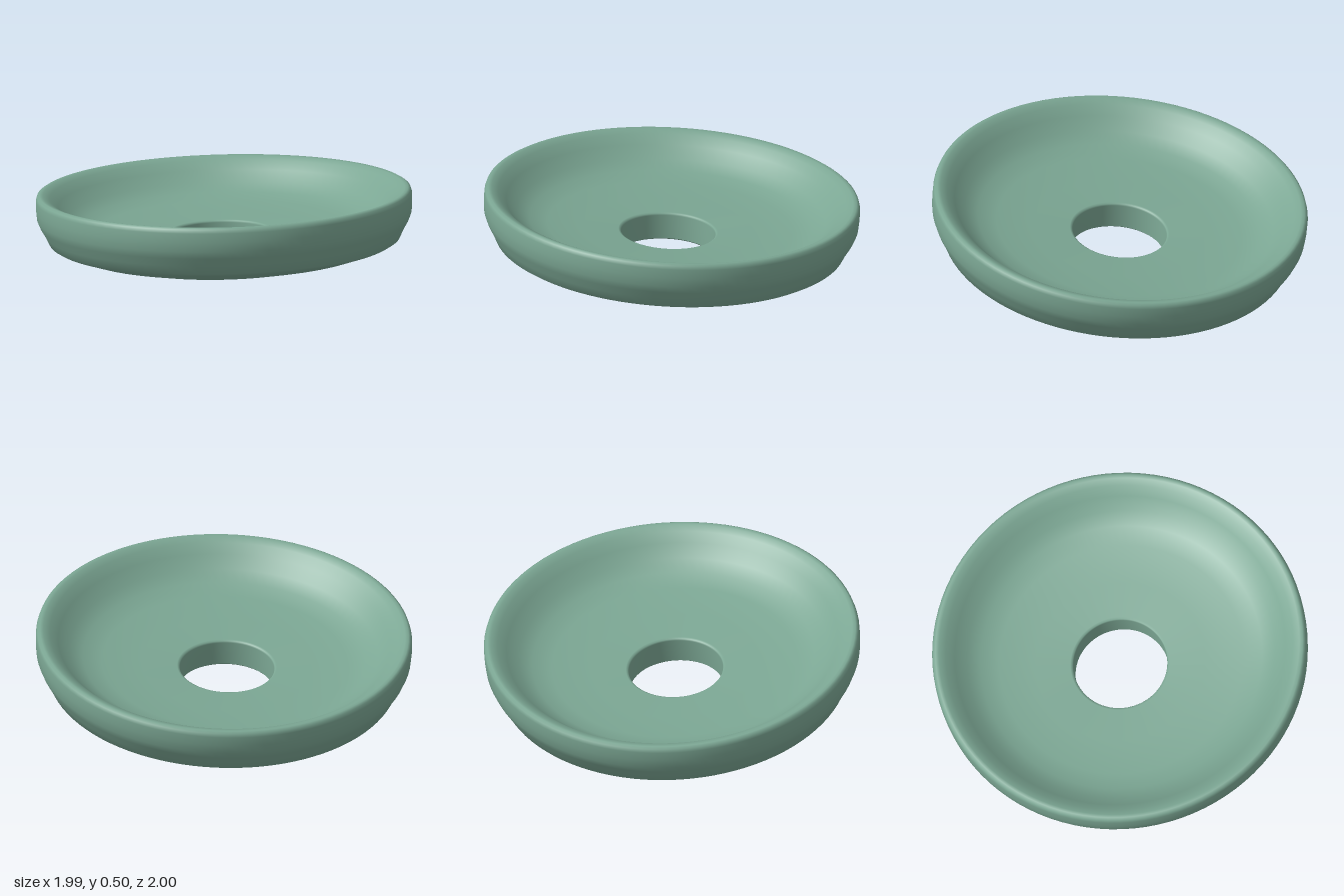
import * as THREE from 'three';

export function createModel() {
  const model = new THREE.Group();
  const glaze = new THREE.MeshStandardMaterial({ color: 0x7ba693 });
  glaze.name = 'sage green';

  // Closed cross-section [radius, height]: underside, outer wall, lip, bowl floor, hole wall
  const profile = [
    [0.25, 0.068], [0.256, 0.062], [0.4, 0.057], [0.6, 0.06], [0.78, 0.1],
    [0.9, 0.14], [0.93, 0.158], [0.952, 0.205], [0.978, 0.25], [0.994, 0.29],
    [0.998, 0.34], [0.998, 0.39], [0.992, 0.41], [0.978, 0.419], [0.96, 0.416],
    [0.925, 0.4], [0.88, 0.357], [0.82, 0.3], [0.75, 0.26], [0.65, 0.234],
    [0.45, 0.219], [0.265, 0.211], [0.254, 0.207], [0.25, 0.198], [0.25, 0.068],
  ].map(([r, y]) => new THREE.Vector2(r, y));
  const geometry = new THREE.LatheGeometry(profile, 96);

  // The hole sits slightly off centre, fading out towards the wall
  const position = geometry.attributes.position;
  for (let i = 0; i < position.count; i++) {
    const x = position.getX(i), z = position.getZ(i);
    const pull = 1 - THREE.MathUtils.smoothstep(Math.hypot(x, z), 0.27, 0.9);
    position.setX(i, x - 0.018 * pull);
    position.setZ(i, z + 0.01 * pull);
  }

  // The whole dish leans, with its lip highest towards +x and +z
  const up = new THREE.Vector3(-0.072, 1, -0.06).normalize();
  const lean = new THREE.Quaternion().setFromUnitVectors(new THREE.Vector3(0, 1, 0), up);
  geometry.translate(0, -0.36, 0).applyQuaternion(lean).translate(0, 0.36, 0);

  // Settle it on the ground and centre it
  geometry.computeBoundingBox();
  const { min, max } = geometry.boundingBox;
  geometry.translate(-(min.x + max.x) / 2, -min.y, -(min.z + max.z) / 2);

  const dish = new THREE.Mesh(geometry, glaze);
  dish.name = 'dish';
  model.add(dish);
  return model;
}
